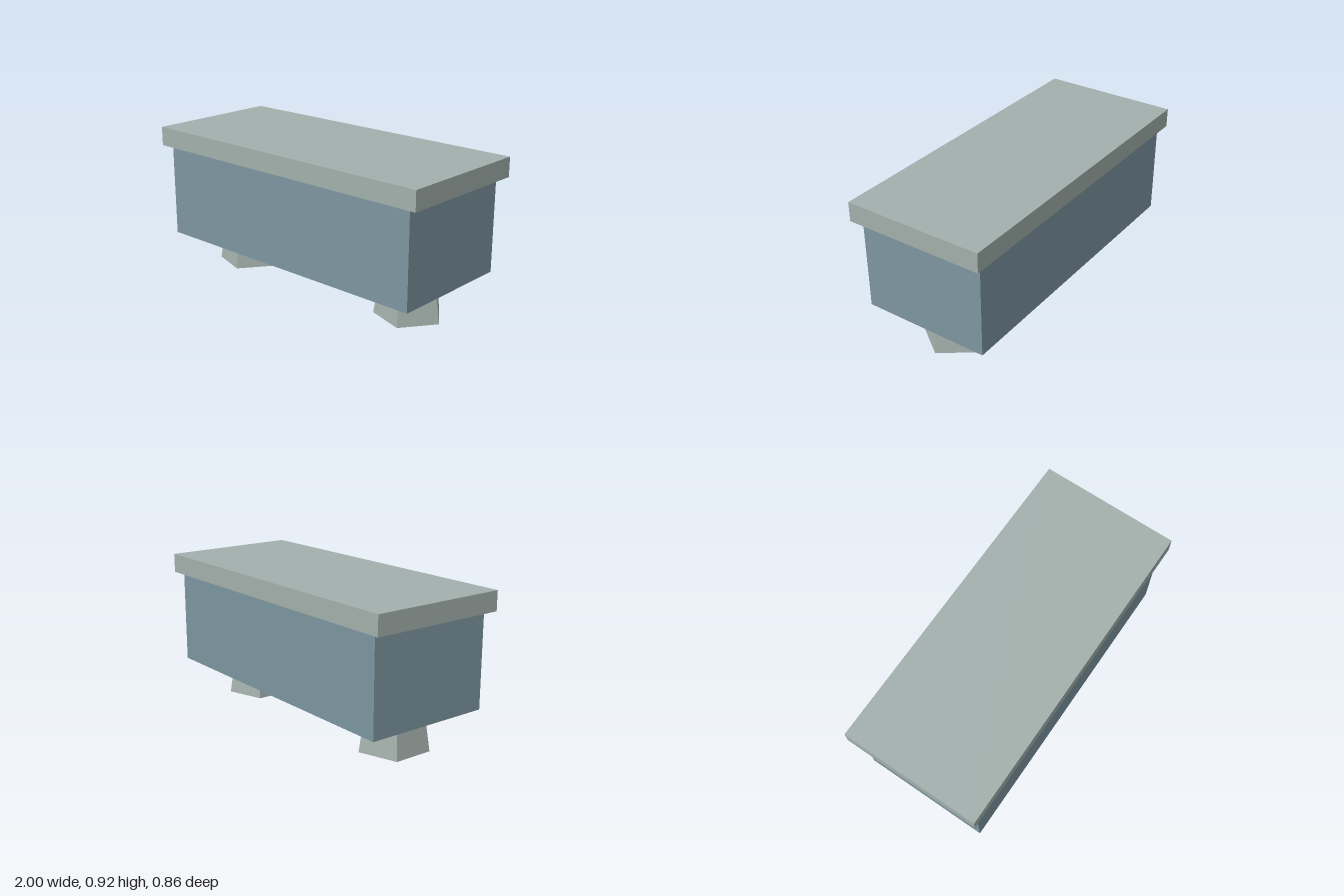
import * as THREE from 'three';

const stone = new THREE.MeshStandardMaterial({ name: 'pale grey green', color: 0xa3b0ac });
const blue = new THREE.MeshStandardMaterial({ name: 'slate blue', color: 0x7d96a0 });

// Box resting between two heights
function slab(name, width, depth, bottom, top, material) {
  const mesh = new THREE.Mesh(new THREE.BoxGeometry(width, top - bottom, depth), material);
  mesh.name = name;
  mesh.position.y = (bottom + top) / 2;
  return mesh;
}

export function createModel() {
  const model = new THREE.Group();
  model.name = 'bench';

  const bodyBottom = 0.22, bodyTop = 0.797;
  model.add(slab('body', 1.88, 0.79, bodyBottom, bodyTop, blue));
  model.add(slab('top', 2, 0.857, bodyTop, 0.915, stone));

  // Tapered five-sided feet, each with one corner towards +x
  const footGeometry = new THREE.CylinderGeometry(0.177, 0.21, bodyBottom, 5, 1, false, Math.PI / 2).toNonIndexed();
  footGeometry.computeVertexNormals();
  for (const [name, x] of [['leftFoot', 0.66], ['rightFoot', -0.66]]) {
    const foot = new THREE.Mesh(footGeometry, stone);
    foot.name = name;
    foot.position.set(x, bodyBottom / 2, 0);
    model.add(foot);
  }
  return model;
}
